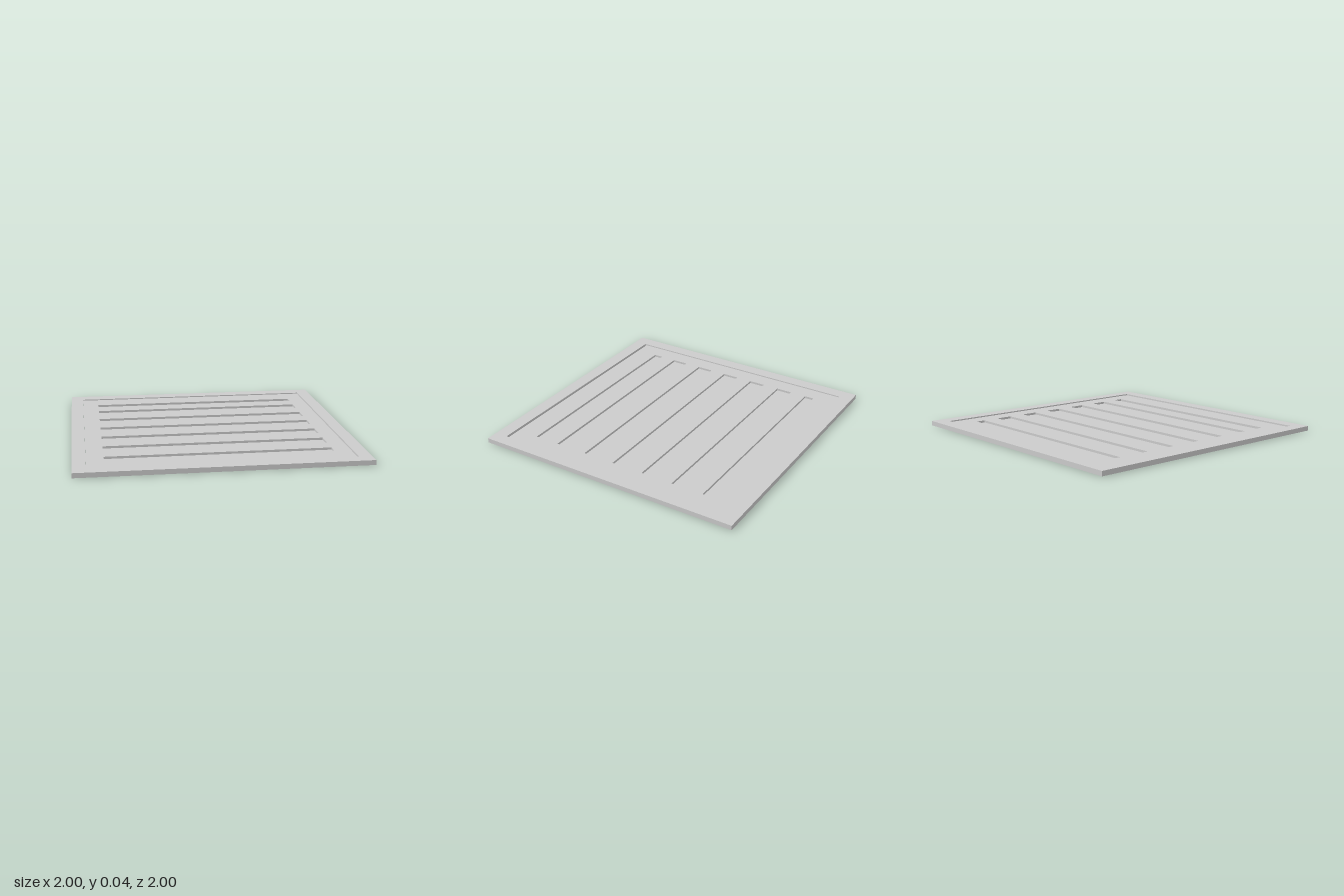
import * as THREE from 'three';

const material = new THREE.MeshStandardMaterial({ color: 0xcccccc, flatShading: true });

// Heights of the stacked layers
const FRAME_BOTTOM = 0.003, FRAME_TOP = 0.037, SLAT_TOP = 0.029, FLOOR = 0.013;

// Box given by its limits on each axis
function slab(name, x0, x1, y0, y1, z0, z1) {
  const mesh = new THREE.Mesh(new THREE.BoxGeometry(x1 - x0, y1 - y0, z1 - z0), material);
  mesh.position.set((x0 + x1) / 2, (y0 + y1) / 2, (z0 + z1) / 2);
  mesh.name = name;
  return mesh;
}

export function createModel() {
  const group = new THREE.Group();
  group.name = 'slattedHatch';

  // Square outer frame with a rectangular opening
  const outline = new THREE.Shape([[-1, -1], [1, -1], [1, 1], [-1, 1]].map(p => new THREE.Vector2(...p)));
  outline.holes.push(new THREE.Path(
    [[-0.908, -0.905], [-0.908, 0.9], [0.908, 0.9], [0.908, -0.905]].map(p => new THREE.Vector2(...p))));
  const frameGeometry = new THREE.ExtrudeGeometry(outline, { depth: FRAME_TOP - FRAME_BOTTOM, bevelEnabled: false });
  frameGeometry.rotateX(-Math.PI / 2);
  const frame = new THREE.Mesh(frameGeometry, material);
  frame.position.y = FRAME_BOTTOM;
  frame.name = 'outerFrame';
  group.add(frame);

  // Door leaf set into the frame: backing panel, side stiles and end rails
  const door = new THREE.Group();
  door.name = 'door';
  door.add(slab('backPanel', -0.907, 0.904, 0, FLOOR, -0.9, 0.893));
  door.add(slab('rightStile', -0.907, -0.787, FLOOR, SLAT_TOP, -0.9, 0.893));
  door.add(slab('leftStile', 0.787, 0.904, FLOOR, SLAT_TOP, -0.9, 0.893));
  door.add(slab('backRail', -0.787, 0.787, FLOOR, SLAT_TOP, -0.9, -0.735));
  door.add(slab('frontRail', -0.787, 0.787, FLOOR, SLAT_TOP, 0.726, 0.893));

  // Evenly spaced slats between the rails
  for (let i = 0; i < 6; i++) {
    const z = -0.665 + i * 0.2405;
    door.add(slab('slat', -0.787, 0.787, FLOOR, SLAT_TOP, z, z + 0.12));
  }
  group.add(door);
  return group;
}
